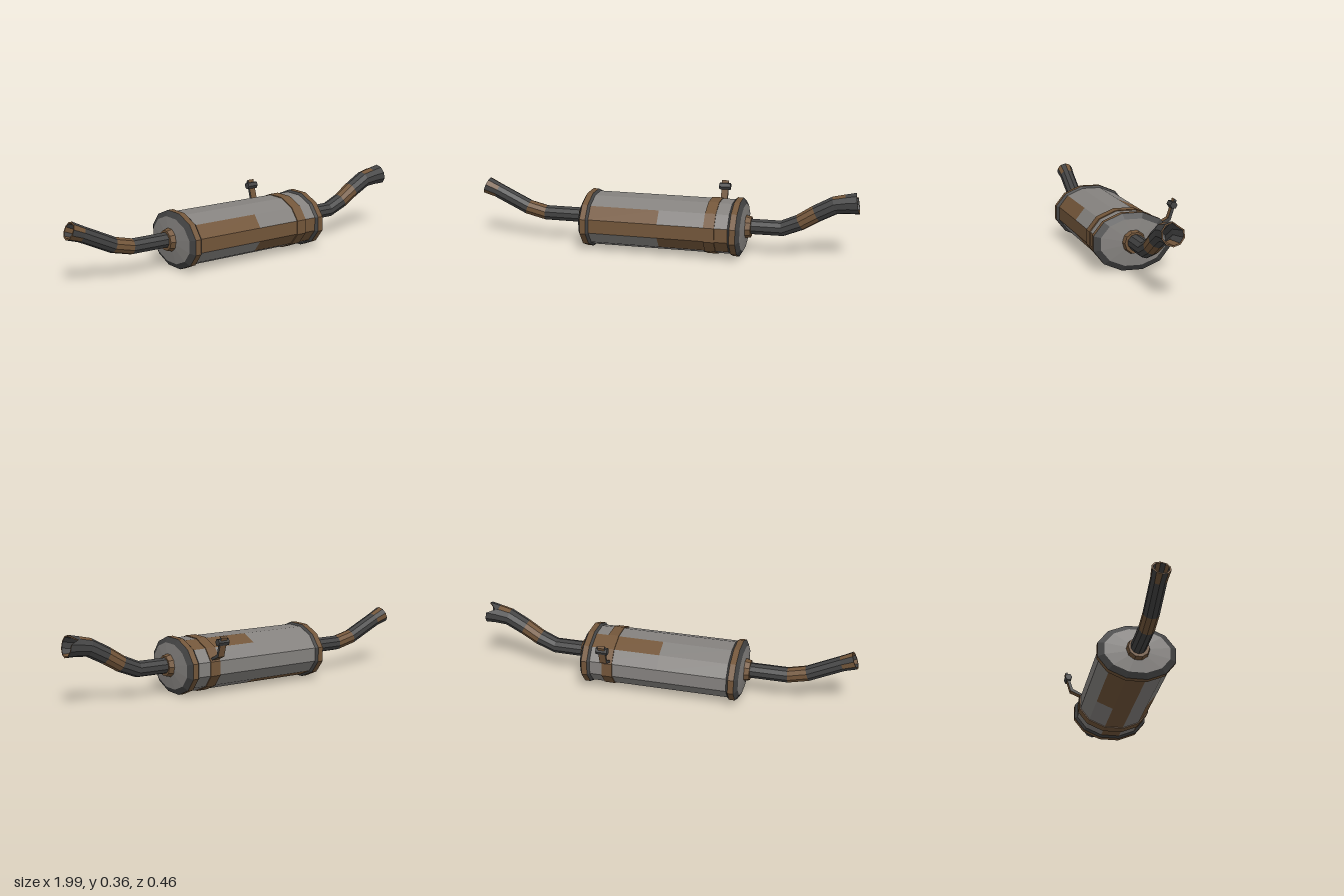
import * as THREE from 'three';

const mat = (name, color) => {
  const m = new THREE.MeshStandardMaterial({ color });
  m.name = name;
  return m;
};

export function createModel() {
  const steel = mat('steel', 0x85827f);
  const darkSteel = mat('dark steel', 0x434343);
  const rust = mat('rust', 0x73563a);
  const materials = [steel, darkSteel, rust];
  const STEEL = 0, DARK = 1, RUST = 2;

  const model = new THREE.Group();
  model.name = 'exhaust';

  // Skin a list of rings with flat quads; paint(i, j) picks the colour of each quad
  function loft(name, rings, paint, parent = model) {
    const buckets = [[], [], []];
    for (let i = 0; i < rings.length - 1; i++) {
      const n = rings[i].length;
      for (let j = 0; j < n; j++) {
        const k = (j + 1) % n;
        const a = rings[i][j], b = rings[i + 1][j], c = rings[i + 1][k], d = rings[i][k];
        for (const p of [a, b, c, a, c, d]) buckets[paint(i, j)].push(p.x, p.y, p.z);
      }
    }
    const geo = new THREE.BufferGeometry();
    geo.setAttribute('position', new THREE.Float32BufferAttribute(buckets.flat(), 3));
    let start = 0;
    buckets.forEach((list, m) => {
      if (list.length) geo.addGroup(start, list.length / 3, m);
      start += list.length / 3;
    });
    geo.computeVertexNormals();
    const mesh = new THREE.Mesh(geo, materials);
    mesh.name = name;
    parent.add(mesh);
    return mesh;
  }

  // Twelve-sided oval ring across x; s scales the full oval
  const oval = (x, sy, sz = sy) => Array.from({ length: 12 }, (_, j) => {
    const a = (j + 0.5) * Math.PI / 6;
    return new THREE.Vector3(x, 0.147 * sy * Math.sin(a), 0.202 * sz * Math.cos(a));
  });

  const muffler = new THREE.Group();
  muffler.name = 'muffler';
  muffler.position.set(0, 0.142, 0.037);
  model.add(muffler);

  // Shell with rusted panels: [left half, right half] per facet
  const shellRust = { 0: [1, 0], 3: [0, 1], 7: [1, 0], 8: [1, 1], 10: [0, 1], 11: [1, 1] };
  loft('shell', [-0.37, 0, 0.37].map(x => oval(x, 0.93)),
    (i, j) => (shellRust[j] && shellRust[j][i] ? RUST : STEEL), muffler);

  // End caps with rolled rims, and the pipe collars
  const capColors = [DARK, RUST, DARK, STEEL];
  for (const side of [1, -1]) {
    const end = new THREE.Group();
    end.name = side > 0 ? 'leftEnd' : 'rightEnd';
    end.rotation.y = side > 0 ? 0 : Math.PI;
    muffler.add(end);
    loft('endCap', [oval(0.36, 0.92), oval(0.373, 1), oval(0.403, 1), oval(0.42, 0.81, 0.835),
      oval(0.43, 0.2)], i => capColors[i], end);
    const collar = new THREE.Mesh(new THREE.CylinderGeometry(0.053, 0.062, 0.04, 10).toNonIndexed(), rust);
    collar.geometry.computeVertexNormals();
    collar.name = 'collar';
    collar.rotation.z = -Math.PI / 2;
    collar.position.set(0.435, 0.004, 0);
    end.add(collar);
  }

  // Strap around the shell
  loft('strap', [oval(0.24, 0.92), oval(0.24, 0.96), oval(0.295, 0.96), oval(0.295, 0.92)],
    () => RUST, muffler);

  // Ten-sided pipe ring square to the path: [x, y, radius, slope angle]
  const pipeRing = ([x, y, r, t]) => Array.from({ length: 10 }, (_, j) => {
    const a = (j + 0.5) * Math.PI / 5;
    const up = r * Math.sin(a);
    return new THREE.Vector3(x - up * Math.sin(t), y + up * Math.cos(t), 0.035 + r * Math.cos(a));
  });

  // Inlet pipe, from its inner bore out to the lip and back to the muffler
  const inlet = [
    [-0.75, 0.172, 0.033, -0.34], [-0.92, 0.253, 0.033, -0.42], [-0.982, 0.278, 0.038, -0.4],
    [-0.982, 0.278, 0.046, -0.4], [-0.92, 0.253, 0.04, -0.42],
    [-0.75, 0.172, 0.04, -0.34], [-0.65, 0.148, 0.04, -0.1], [-0.42, 0.148, 0.04, 0],
  ];
  loft('inletPipe', inlet.map(pipeRing), (i, j) => {
    if (i === 2 || i === 5) return RUST;
    return (i === 1 || i === 3) && j % 2 === 0 ? RUST : DARK;
  });

  // Outlet pipe, from the muffler to the lip and back inside the bore
  const outlet = [
    [0.42, 0.148, 0.041, 0], [0.61, 0.149, 0.041, 0.18], [0.70, 0.187, 0.042, 0.5],
    [0.78, 0.238, 0.044, 0.5], [0.87, 0.287, 0.046, 0.3], [0.93, 0.297, 0.05, 0.2],
    [0.985, 0.303, 0.056, 0.18], [0.985, 0.303, 0.049, 0.18],
    [0.87, 0.287, 0.04, 0.3], [0.78, 0.238, 0.038, 0.5],
  ];
  const outletRings = outlet.map(pipeRing);
  // Dent in the upper back of the lip
  for (const i of [6, 7]) outletRings[i][3].add(new THREE.Vector3(-0.04, -0.012, 0));
  loft('outletPipe', outletRings, (i, j) => {
    if (i === 2 || i === 6) return RUST;
    if (i === 4 && (j === 1 || j === 2)) return RUST;
    return i === 7 && (j === 6 || j === 7) ? RUST : DARK;
  });

  // Dark plugs deep inside both bores
  for (const [name, ring, turn] of [['inletBore', inlet[0], -1], ['outletBore', outlet[9], 1]]) {
    const plug = new THREE.Mesh(new THREE.CircleGeometry(ring[2], 10), darkSteel);
    plug.name = name;
    plug.position.set(ring[0], ring[1], 0.035);
    plug.rotation.set(0, turn * Math.PI / 2, ring[3], 'ZYX');
    model.add(plug);
  }

  // Extrude a (z, y) outline along x, centred on the hanger
  function sideways(name, points, width, mats) {
    const shape = new THREE.Shape(points.map(([z, y]) => new THREE.Vector2(-z, y)));
    const geo = new THREE.ExtrudeGeometry(shape, { depth: width, bevelEnabled: false });
    geo.rotateY(Math.PI / 2);
    geo.translate(0.268 - width / 2, 0, 0);
    const mesh = new THREE.Mesh(geo, mats);
    mesh.name = name;
    model.add(mesh);
  }

  // Bent hanger bracket behind the strap, with a hexagonal bolt
  sideways('hanger', [
    [-0.13, 0.192], [-0.14, 0.184], [-0.2, 0.21], [-0.231, 0.31], [-0.219, 0.318],
    [-0.188, 0.222],
  ], 0.036, [darkSteel, rust]);
  const hex = Array.from({ length: 6 }, (_, k) =>
    [-0.213 + 0.019 * Math.cos(k * Math.PI / 3), 0.287 + 0.019 * Math.sin(k * Math.PI / 3)]);
  sideways('bolt', hex, 0.06, darkSteel);

  return model;
}
